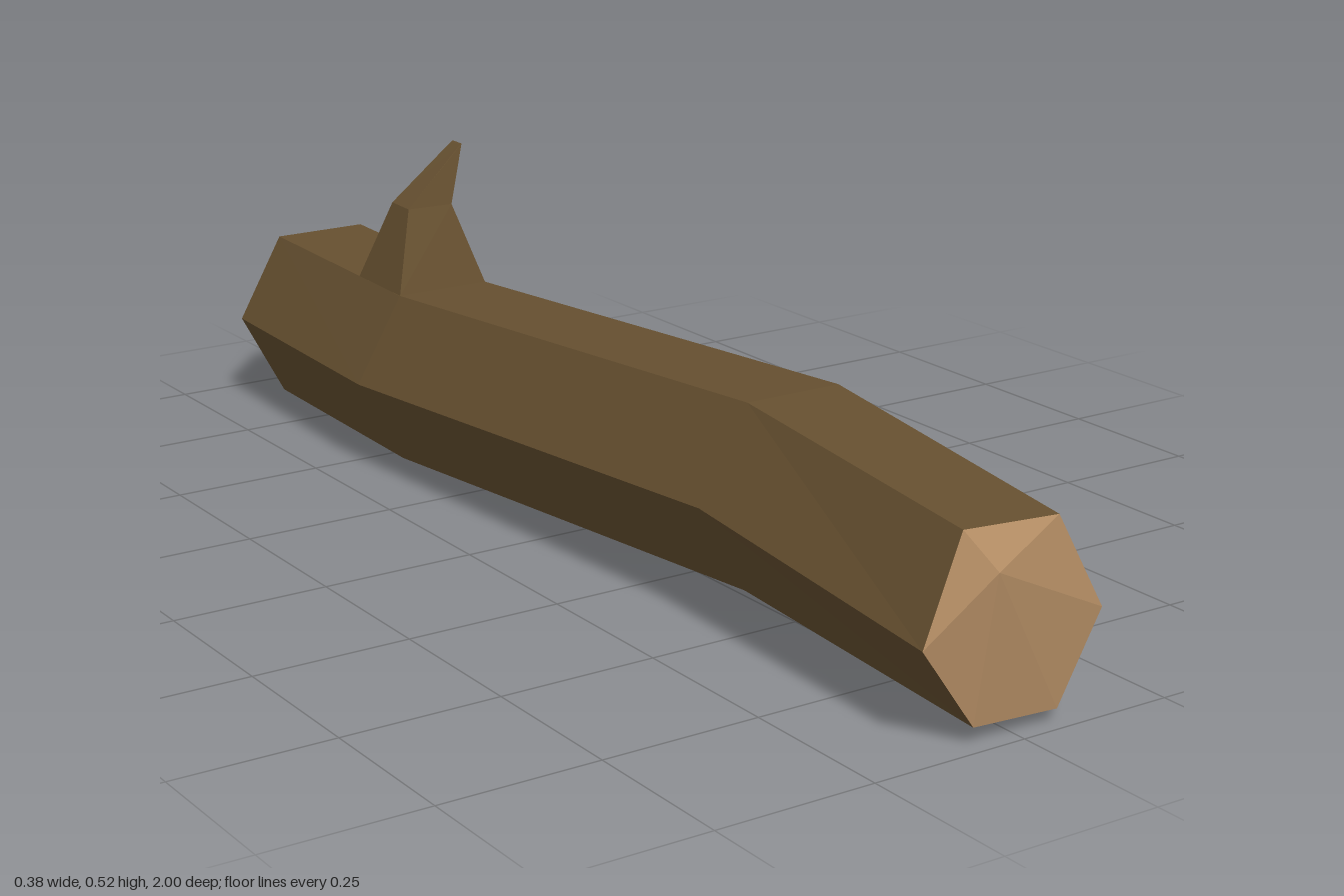
import * as THREE from 'three';

// Flat-faceted mesh from convex polygons given as corner lists
function facets(name, polygons, material) {
  const pos = [];
  for (const p of polygons)
    for (let i = 1; i < p.length - 1; i++) pos.push(...p[0], ...p[i], ...p[i + 1]);
  const g = new THREE.BufferGeometry();
  g.setAttribute('position', new THREE.Float32BufferAttribute(pos, 3));
  g.computeVertexNormals();
  const mesh = new THREE.Mesh(g, material);
  mesh.name = name;
  return mesh;
}

// Side faces joining successive rings of equal length
function skin(rings) {
  const out = [];
  for (let r = 0; r < rings.length - 1; r++) {
    const a = rings[r], b = rings[r + 1], n = a.length;
    for (let i = 0; i < n; i++) {
      const j = (i + 1) % n;
      out.push([a[i], a[j], b[j]], [a[i], b[j], b[i]]);
    }
  }
  return out;
}

export function createModel() {
  const bark = new THREE.MeshStandardMaterial({ color: 0x665030 });
  bark.name = 'bark';
  const cut = new THREE.MeshStandardMaterial({ color: 0xb08a62 });
  cut.name = 'cutWood';

  // Six-sided sections of the log, front to back, from the top left corner
  const front = [[-0.08, 0.295, 0.955], [0.08, 0.287, 0.96], [0.15, 0.147, 0.975],
    [0.073, 0.02, 0.98], [-0.072, 0.027, 0.98], [-0.152, 0.147, 0.968]];
  const bendFront = [[-0.055, 0.33, 0.45], [0.108, 0.33, 0.45], [0.19, 0.187, 0.45],
    [0.108, 0.045, 0.45], [-0.055, 0.045, 0.45], [-0.138, 0.187, 0.45]];
  const bendBack = [[-0.11, 0.29, -0.45], [0.055, 0.29, -0.45], [0.135, 0.15, -0.45],
    [0.055, 0.01, -0.45], [-0.11, 0.007, -0.45], [-0.192, 0.15, -0.45]];
  const back = [[-0.09, 0.29, -0.92], [0.075, 0.29, -0.92], [0.157, 0.15, -0.92],
    [0.077, 0.001, -0.92], [-0.09, 0.004, -0.92], [-0.17, 0.15, -0.92]];

  // Front cut: shallow fan around an off-centre point
  const apex = [-0.055, 0.245, 1];
  const frontCut = front.map((p, i) => [apex, front[(i + 1) % 6], p]);

  // Back cut: bevels running to a small triangle
  const t = [-0.003, 0.225, -1], r = [0.065, 0.115, -1], l = [-0.07, 0.115, -1];
  const [tl, tr, mr, br, bl, ml] = back;
  const backCut = [[tl, tr, t], [tr, mr, r, t], [mr, br, r], [br, bl, l, r],
    [bl, ml, l], [ml, tl, t, l], [t, r, l]];

  // Broken twig: tapering four-sided stub that leans to a thin tip
  const twigRings = [
    [[-0.11, 0.289, -0.45], [0.055, 0.289, -0.45], [0.062, 0.289, -0.6], [-0.104, 0.289, -0.6]],
    [[-0.065, 0.422, -0.495], [0.015, 0.422, -0.49], [0.021, 0.422, -0.558], [-0.062, 0.422, -0.555]],
    [[0.045, 0.516, -0.51], [0.048, 0.518, -0.51], [0.048, 0.518, -0.54], [0.045, 0.516, -0.54]],
  ];

  const group = new THREE.Group();
  group.name = 'log';
  group.add(
    facets('trunk', skin([front, bendFront, bendBack, back]), bark),
    facets('frontCut', frontCut, cut),
    facets('backCut', backCut, cut),
    facets('twig', [...skin(twigRings), twigRings[2]], bark),
  );
  return group;
}
